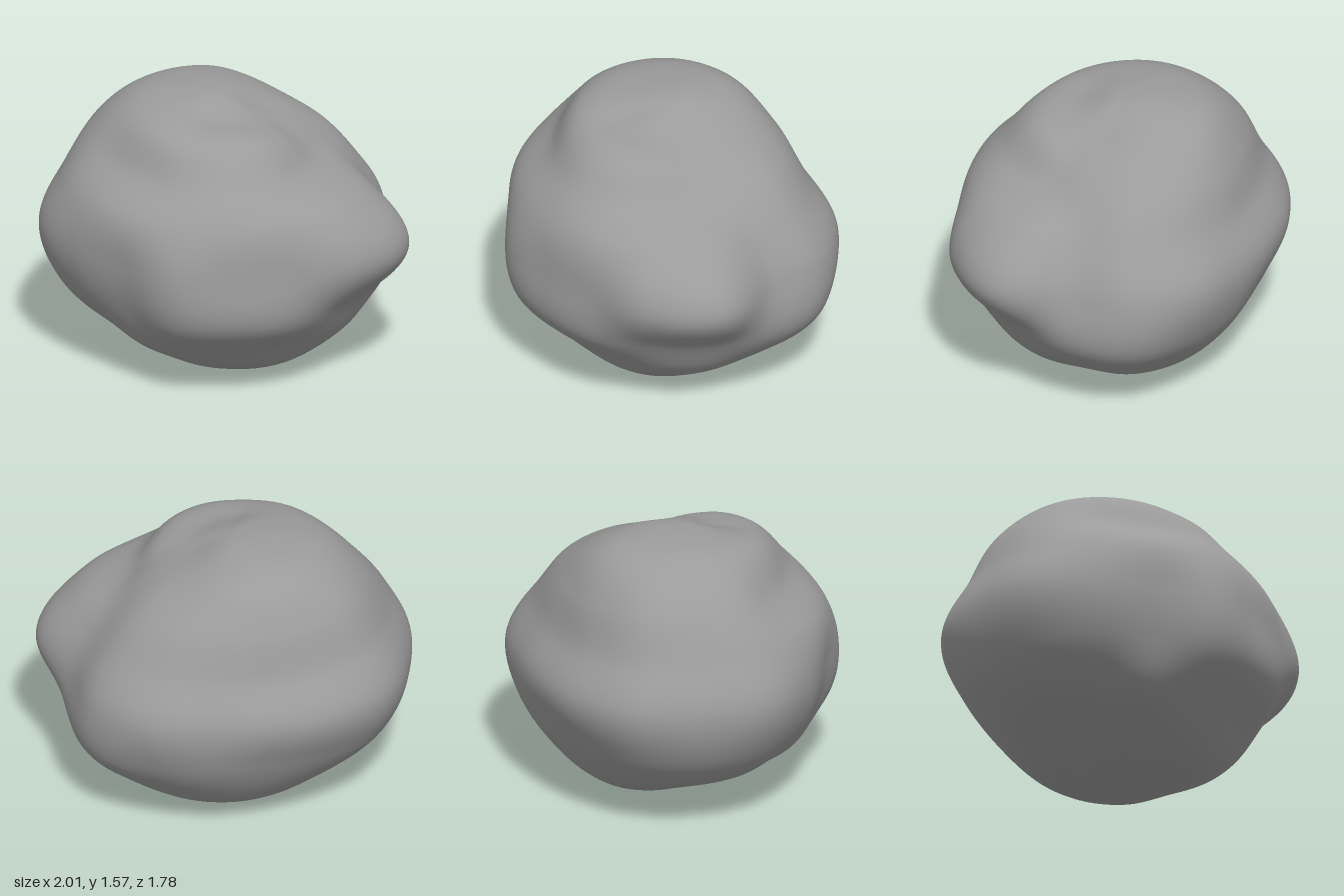
import * as THREE from 'three';
import { mergeVertices } from 'three/addons/utils/BufferGeometryUtils.js';

// Distance from the core to the surface, in percent. Rings run from the top pole
// to the bottom pole; each ring turns from +x towards +z in 16 steps.
const RINGS = [
  [77],
  [71, 71, 72, 73, 74, 75, 78, 80, 81, 82, 82, 82, 81, 79, 76, 73],
  [72, 71, 75, 79, 81, 82, 84, 86, 88, 89, 89, 88, 86, 82, 78, 75],
  [75, 73, 75, 79, 81, 80, 79, 82, 89, 91, 91, 86, 82, 81, 81, 80],
  [82, 92, 93, 88, 86, 87, 88, 90, 93, 92, 91, 84, 79, 80, 84, 86],
  [91, 108, 103, 90, 87, 91, 86, 92, 100, 99, 100, 94, 88, 88, 95, 97],
  [97, 93, 91, 92, 91, 92, 85, 89, 95, 96, 95, 89, 85, 88, 94, 101],
  [90, 90, 88, 85, 84, 85, 85, 83, 86, 87, 87, 85, 84, 86, 89, 92],
  [84, 85, 86, 85, 83, 82, 80, 78, 77, 78, 81, 83, 84, 85, 86, 86],
  [80, 80, 81, 81, 81, 80, 78, 77, 76, 76, 77, 79, 80, 80, 81, 80],
  [78],
];
const STEPS = 16;
const LAST = RINGS.length - 1;
const CORE_HEIGHT = 0.785;

// Ring lookup that carries on over the poles to the opposite side
function at(ring, step) {
  if (ring < 0) { ring = -ring; step += STEPS / 2; }
  if (ring > LAST) { ring = 2 * LAST - ring; step += STEPS / 2; }
  const row = RINGS[ring];
  return row[(step % STEPS) % row.length] / 100;
}

// Catmull-Rom blend of four neighbours
function blend(f, t) {
  const [a, b, c, d] = [f(-1), f(0), f(1), f(2)];
  return b + 0.5 * t * (c - a + t * (2 * a - 5 * b + 4 * c - d + t * (3 * (b - c) + d - a)));
}

function radius(dir) {
  const v = Math.acos(THREE.MathUtils.clamp(dir.y, -1, 1)) / Math.PI * LAST;
  const u = (Math.atan2(dir.z, dir.x) / (2 * Math.PI) + 1) * STEPS;
  const i = Math.min(Math.floor(v), LAST - 1);
  const j = Math.floor(u);
  return blend((di) => blend((dj) => at(i + di, j + dj), u - j), v - i);
}

export function createModel() {
  const group = new THREE.Group();
  group.name = 'rock';
  const stone = new THREE.MeshStandardMaterial({ color: 0x9b9b9b });
  stone.name = 'stone grey';

  // Evenly divided ball, welded so that the shading is smooth
  let geometry = new THREE.IcosahedronGeometry(1, 40);
  geometry.deleteAttribute('uv');
  geometry.deleteAttribute('normal');
  geometry = mergeVertices(geometry, 1e-5);

  // Push every point out to the boulder surface
  const pos = geometry.attributes.position;
  const p = new THREE.Vector3();
  for (let k = 0; k < pos.count; k++) {
    p.fromBufferAttribute(pos, k).normalize();
    p.multiplyScalar(radius(p));
    pos.setXYZ(k, p.x, p.y + CORE_HEIGHT, p.z);
  }
  geometry.computeVertexNormals();

  const boulder = new THREE.Mesh(geometry, stone);
  boulder.name = 'boulder';
  group.add(boulder);
  return group;
}
